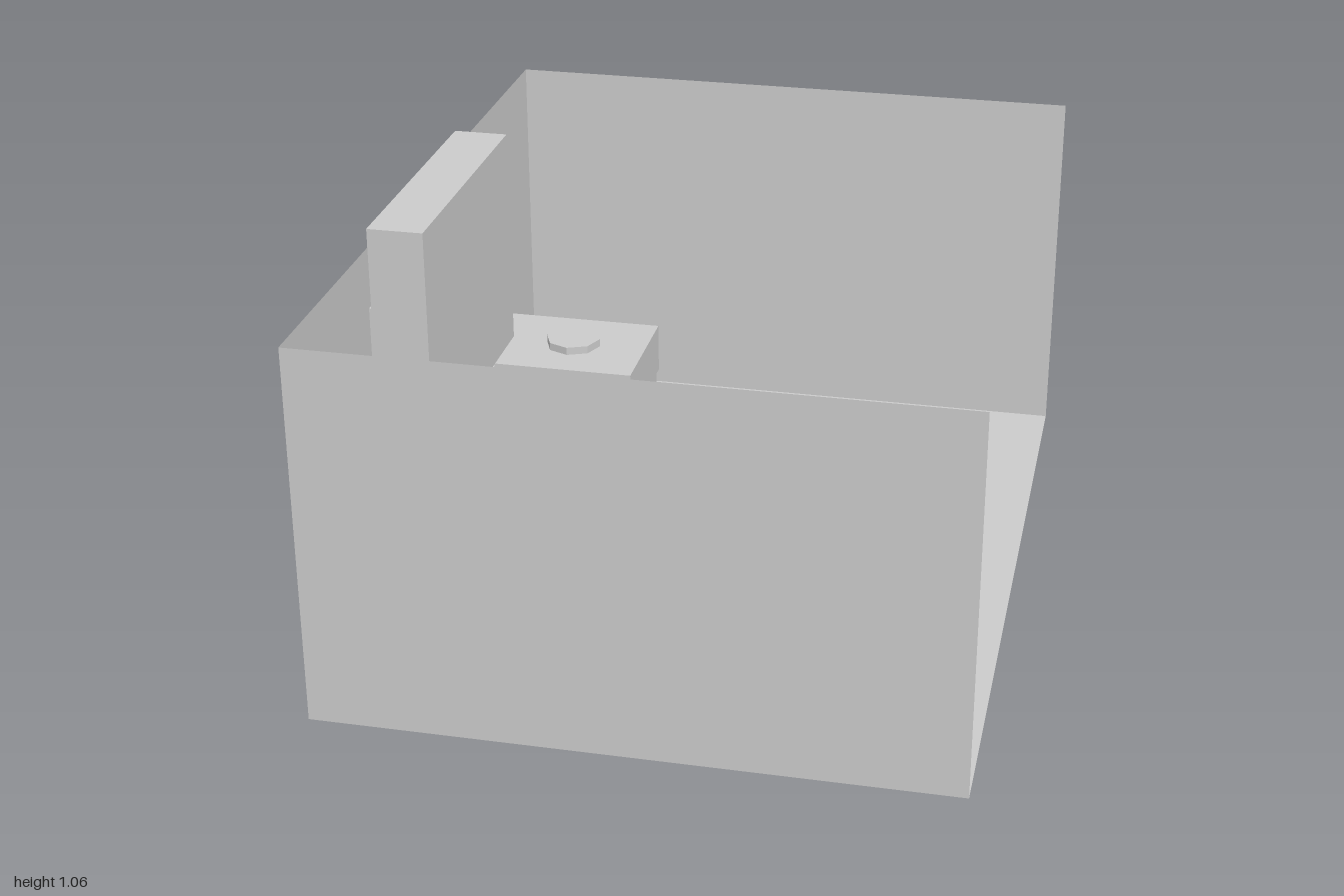
import * as THREE from 'three';

const material = (color) => new THREE.MeshStandardMaterial({ color, flatShading: true, side: THREE.DoubleSide });

// Octagonal outline: a rectangle with cut corners
function cutRect(path, x0, x1, y0, y1, c) {
  path.moveTo(x0 + c, y0);
  [[x1 - c, y0], [x1, y0 + c], [x1, y1 - c], [x1 - c, y1], [x0 + c, y1], [x0, y1 - c], [x0, y0 + c]]
    .forEach(([x, y]) => path.lineTo(x, y));
  path.closePath();
  return path;
}

function rect(path, x0, x1, y0, y1) {
  path.moveTo(x0, y0).lineTo(x1, y0).lineTo(x1, y1).lineTo(x0, y1).closePath();
  return path;
}

export function createModel() {
  const model = new THREE.Group();
  model.name = 'bedroom';
  const grey = material(0xcccccc), blue = material(0x5a5ae6), tan = material(0xe0c0a0);

  const add = (parent, name, geometry, mat = grey) => {
    const mesh = new THREE.Mesh(geometry, mat);
    mesh.name = name;
    parent.add(mesh);
    return mesh;
  };
  const group = (name) => {
    const g = new THREE.Group();
    g.name = name;
    model.add(g);
    return g;
  };
  // Box given by its limits on each axis
  const box = (parent, name, x0, x1, y0, y1, z0, z1, mat) => {
    const mesh = add(parent, name, new THREE.BoxGeometry(x1 - x0, y1 - y0, z1 - z0), mat);
    mesh.position.set((x0 + x1) / 2, (y0 + y1) / 2, (z0 + z1) / 2);
    return mesh;
  };
  // Slab with bevelled edges, given by its limits
  const slab = (parent, name, x0, x1, y0, y1, z0, z1, b) => {
    const shape = cutRect(new THREE.Shape(), x0 + b, x1 - b, -z1 + b, -z0 - b, 0.004);
    const geometry = new THREE.ExtrudeGeometry(shape, {
      depth: y1 - y0 - 2 * b, bevelSize: b, bevelThickness: b, bevelSegments: 1,
    });
    const mesh = add(parent, name, geometry.rotateX(-Math.PI / 2));
    mesh.position.y = y0 + b;
    return mesh;
  };

  // Room shell: floor and three thin walls, open on the +x side
  const room = group('room');
  const X0 = -0.768, X1 = 0.803, floorY = 0.01, wallTop = 0.98;
  const midX = (X0 + X1) / 2, midY = (floorY + wallTop) / 2, wallH = wallTop - floorY;
  const floor = add(room, 'floor', new THREE.PlaneGeometry(X1 - X0, 2).rotateX(-Math.PI / 2));
  floor.position.set(midX, floorY, 0);
  for (const [name, z] of [['frontWall', 1], ['backWall', -1]]) {
    add(room, name, new THREE.PlaneGeometry(X1 - X0, wallH)).position.set(midX, midY, z);
  }
  add(room, 'windowWall', new THREE.PlaneGeometry(2, wallH).rotateY(Math.PI / 2)).position.set(X0, midY, 0);

  // Window: three-light frame, panes and sill
  const win = group('window');
  const lights = [[-0.245, -0.105], [-0.075, 0.23], [0.26, 0.395]];
  const frameShape = rect(new THREE.Shape(), -0.275, 0.42, 0.41, 0.825);
  for (const [a, b] of lights) frameShape.holes.push(rect(new THREE.Path(), a, b, 0.43, 0.8));
  const frame = add(win, 'windowFrame', new THREE.ExtrudeGeometry(frameShape, { depth: 0.04, bevelEnabled: false }));
  frame.rotation.y = -Math.PI / 2;
  frame.position.x = -0.745;
  for (const [a, b] of lights) box(win, 'windowPane', -0.775, -0.758, 0.43, 0.8, a, b, blue);
  box(win, 'windowSill', -0.81, -0.74, 0.4, 0.408, -0.255, 0.415, tan);

  // Hanging cabinet above the bed
  box(model, 'hangingCabinet', -0.74, -0.6, 0.48, 1.06, -0.23, 0.48);

  // Bed
  const bed = group('bed');
  box(bed, 'headboard', -0.76, -0.69, floorY, 0.335, -0.335, 0.42);
  box(bed, 'bedBase', -0.69, 0.02, floorY, 0.12, -0.335, 0.42);
  slab(bed, 'mattress', -0.69, 0.03, 0.155, 0.225, -0.275, 0.38, 0.016);
  slab(bed, 'pillow', -0.69, -0.53, 0.2, 0.25, -0.145, 0.222, 0.023);

  // Nightstand with two drawers and a round dish
  const stand = group('nightstand');
  box(stand, 'nightstandBody', X0, -0.335, 0.012, 0.297, -0.765, -0.425);
  box(stand, 'lowerDrawer', -0.335, -0.33, 0, 0.15, -0.77, -0.42);
  box(stand, 'upperDrawer', X0, -0.323, 0.16, 0.3, -0.77, -0.42);
  const dish = add(stand, 'dish', new THREE.CylinderGeometry(0.078, 0.078, 0.022, 8));
  dish.position.set(-0.525, 0.325, -0.567);

  // Wardrobe with one door standing slightly proud
  const wardrobe = group('wardrobe');
  box(wardrobe, 'wardrobeHalf', -0.771, -0.498, floorY, 0.69, 0.747, 0.947);
  box(wardrobe, 'wardrobeProudHalf', -0.771, -0.488, floorY, 0.69, 0.542, 0.747);

  // Dressing table with a cut-corner mirror
  const dresser = group('dressingTable');
  box(dresser, 'tableBody', 0.02, 0.445, floorY, 0.335, 0.692, 0.992);
  const mirrorShape = cutRect(new THREE.Shape(), 0.09, 0.402, 0.34, 0.79, 0.025);
  mirrorShape.holes.push(cutRect(new THREE.Path(), 0.11, 0.382, 0.36, 0.77, 0.02));
  add(dresser, 'mirrorFrame', new THREE.ExtrudeGeometry(mirrorShape, { depth: 0.029, bevelEnabled: false }))
    .position.z = 0.963;
  box(dresser, 'mirrorGlass', 0.105, 0.387, 0.355, 0.775, 0.982, 0.99);

  // Oval eight-sided stool
  const stool = add(model, 'stool', new THREE.CylinderGeometry(1, 1, 0.26, 8));
  stool.scale.set(0.12, 1, 0.075);
  stool.position.set(0.228, 0.14, 0.527);

  return model;
}
